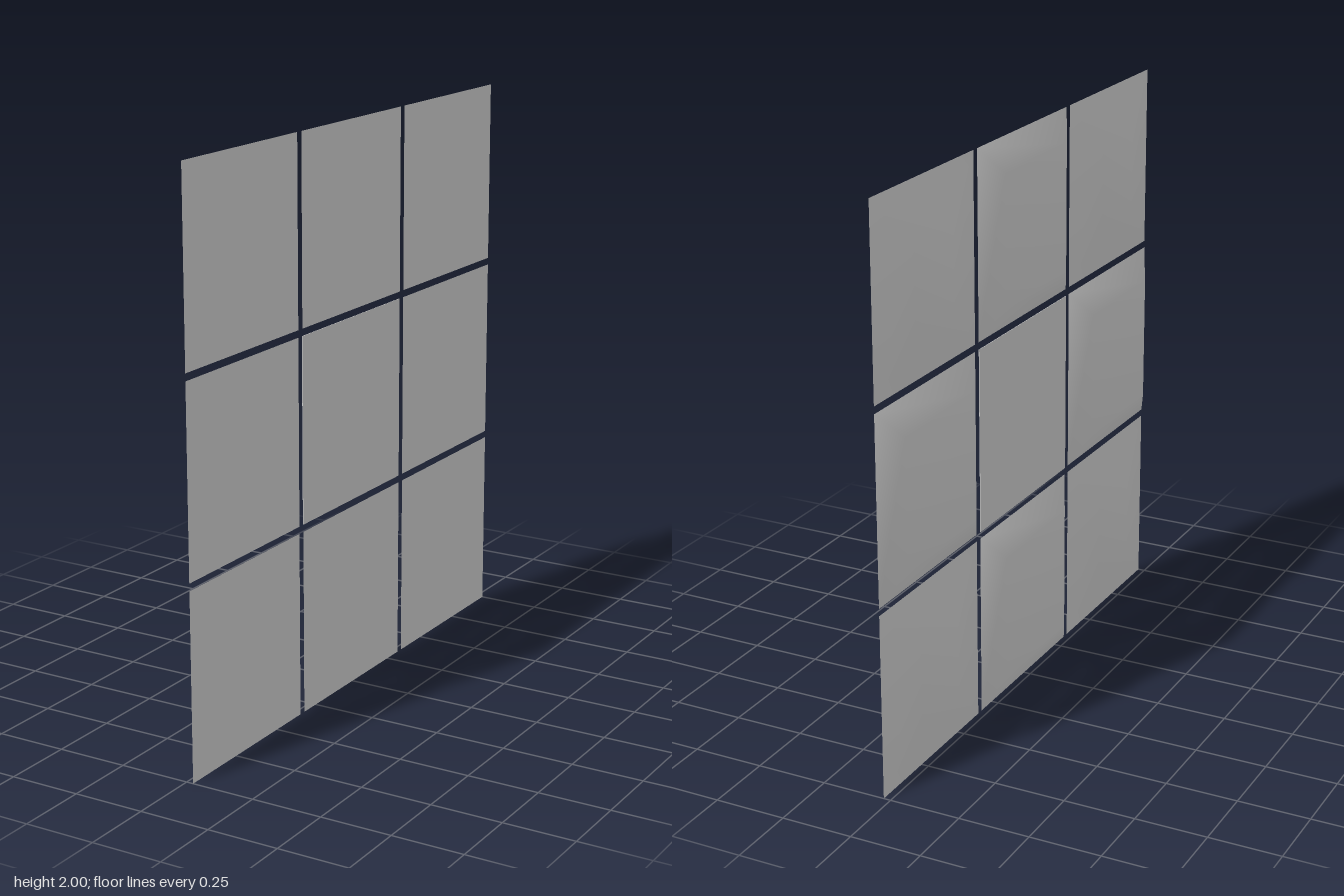
import * as THREE from 'three';

const SIZE = 0.65, PITCH = 0.675, BACK = 0.025;

// Square tile: flat back on +x, softly shaded bevel rising towards -x
function tileGeometry(depth, inset) {
  const corners = [[-1, -1], [1, -1], [1, 1], [-1, 1]];
  const ring = (half, x) => corners.flatMap(([y, z]) => [x, y * half, z * half]);
  const half = SIZE / 2;
  const positions = [
    ...ring(half, BACK),                  // 0-3 rim
    ...ring(half - inset, BACK - depth),  // 4-7 raised face
    ...ring(half, BACK),                  // 8-11 back
  ];
  const index = [4, 6, 5, 4, 7, 6, 8, 9, 10, 8, 10, 11];
  for (let k = 0; k < 4; k++) {
    const n = (k + 1) % 4;
    index.push(k, 4 + k, 4 + n, k, 4 + n, n);
  }
  const geometry = new THREE.BufferGeometry();
  geometry.setAttribute('position', new THREE.Float32BufferAttribute(positions, 3));
  geometry.setIndex(index);
  geometry.computeVertexNormals();
  return geometry;
}

export function createModel() {
  const group = new THREE.Group();
  group.name = 'tilePanel';
  const grey = new THREE.MeshStandardMaterial({ color: 0xcccccc });
  grey.name = 'light grey';

  const deep = tileGeometry(0.05, 0.1);
  const shallow = tileGeometry(0.035, 0.2);
  const flat = new THREE.BoxGeometry(0.002, SIZE, SIZE).translate(BACK - 0.001, 0, 0);

  // 3 x 3 grid: flat centre, shallow corners, deep bevels between them
  for (let row = -1; row <= 1; row++) {
    for (let col = -1; col <= 1; col++) {
      const steps = Math.abs(row) + Math.abs(col);
      const tile = new THREE.Mesh([flat, deep, shallow][steps], grey);
      tile.name = ['centreTile', 'edgeTile', 'cornerTile'][steps];
      tile.position.set(0, 1 + row * PITCH, col * PITCH);
      group.add(tile);
    }
  }
  return group;
}
